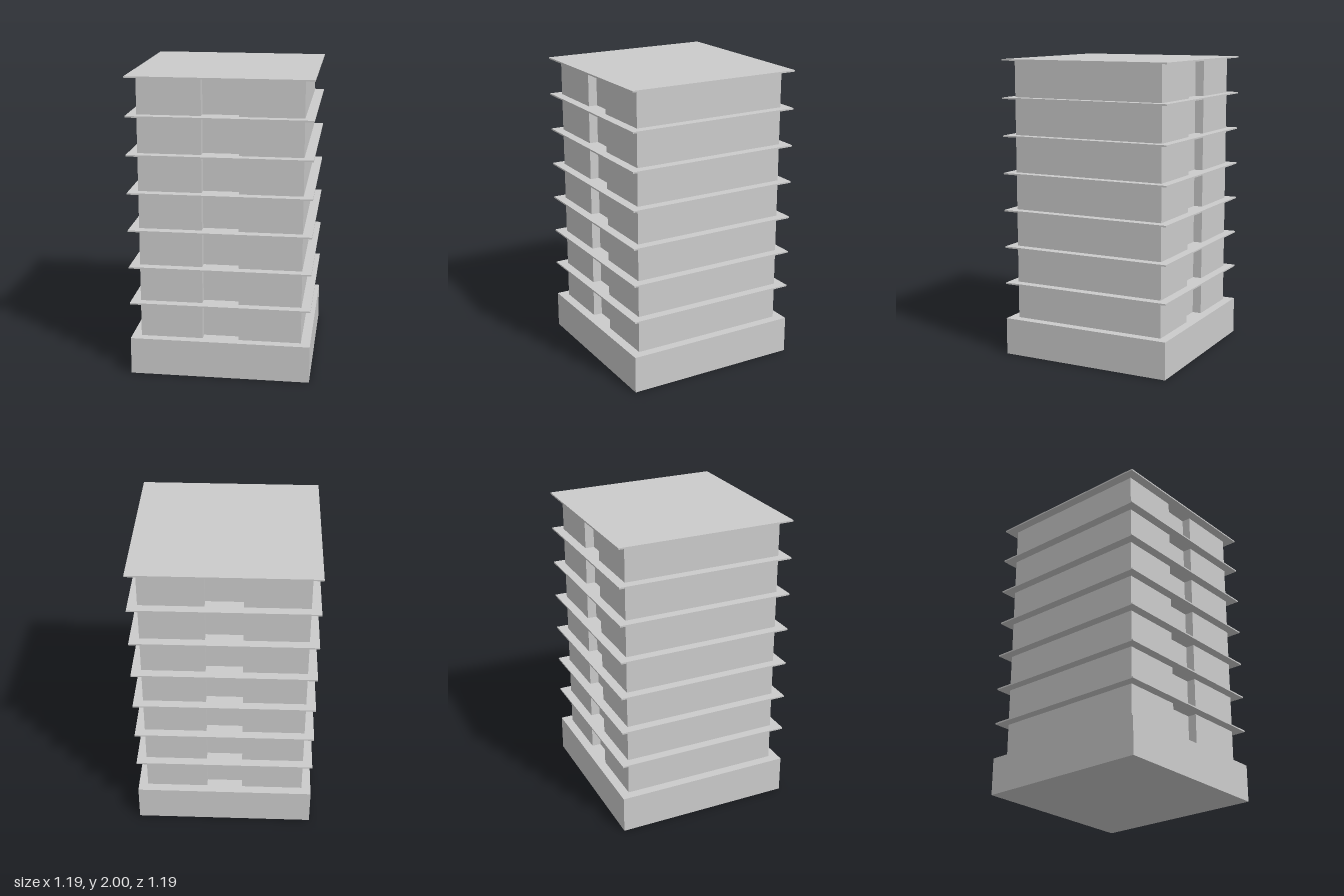
import * as THREE from 'three';

export function createModel() {
  const group = new THREE.Group();
  group.name = 'building';
  const material = new THREE.MeshStandardMaterial({ color: 0xcccccc, flatShading: true });

  const floors = 7, storey = 0.25, slab = 0.01;
  const half = 0.595;  // base and slabs
  const wall = 0.533;  // tower walls
  const bay = 0.12;    // half width of the recess
  const inner = wall - 0.06;

  const add = (name, geometry, y) => {
    const mesh = new THREE.Mesh(geometry, material);
    mesh.name = name;
    mesh.position.y = y;
    group.add(mesh);
  };

  // Ground floor block
  add('base', new THREE.BoxGeometry(half * 2, storey, half * 2), storey / 2);

  // Storey plan: a square with a shallow recess in front and back
  const half1 = [[wall, -wall], [wall, wall], [bay, wall], [bay, inner], [-bay, inner], [-bay, wall]];
  const plan = [...half1, ...half1.map(([x, z]) => [-x, -z])];
  const shape = new THREE.Shape(plan.map(([x, z]) => new THREE.Vector2(x, z)));
  const storeyGeometry = new THREE.ExtrudeGeometry(shape, { depth: storey - slab, bevelEnabled: false });
  storeyGeometry.rotateX(-Math.PI / 2);

  // Storeys, each capped by an overhanging slab
  const slabGeometry = new THREE.BoxGeometry(half * 2, slab, half * 2);
  for (let i = 1; i <= floors; i++) {
    add('storey' + i, storeyGeometry, i * storey);
    add(i === floors ? 'roofSlab' : 'floorSlab' + i, slabGeometry, (i + 1) * storey - slab / 2);
  }
  return group;
}
